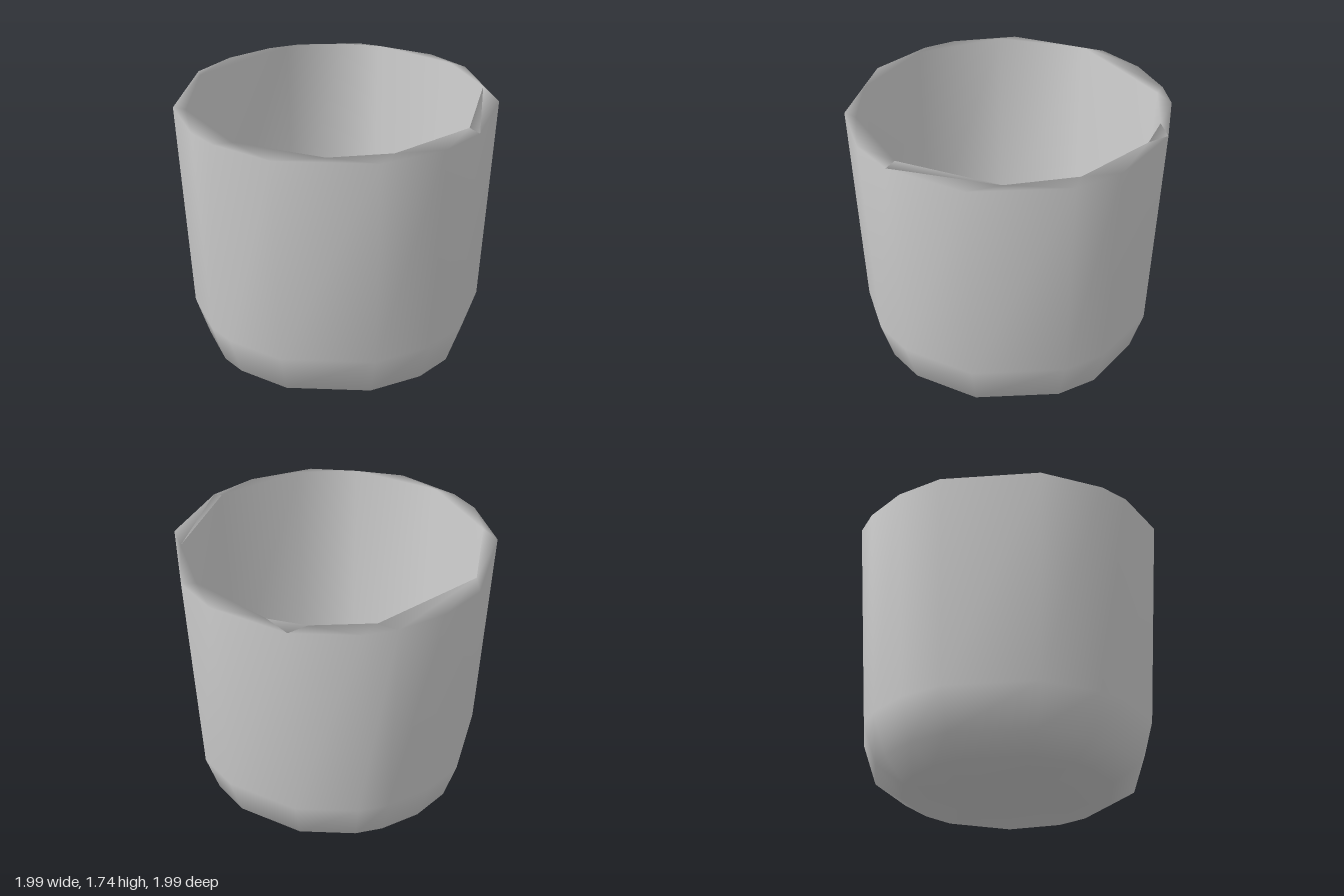
import * as THREE from 'three';

// Uneven corner angles (degrees, from +x towards +z) of the outer and inner walls
const OUTER = [12, 48, 78, 96, 120, 156, 180, 192, 216, 252, 270, 288, 300, 324, 354];
const INNER = [8, 36, 78, 114, 138, 174, 210, 246, 294, 318, 333];

// Skin a list of rings { a: angles, r: radius, y: height }, joining rings with differing corners
function skinRings(rings) {
  const positions = [], index = [];
  const starts = rings.map(({ a, r, y }) => {
    const start = positions.length / 3;
    for (const deg of a) {
      const t = THREE.MathUtils.degToRad(deg);
      positions.push(r * Math.cos(t), y, r * Math.sin(t));
    }
    return start;
  });
  for (let k = 0; k + 1 < rings.length; k++) {
    const A = rings[k].a, B = rings[k + 1].a;
    const angle = (list, n) => list[n % list.length] + (n >= list.length ? 360 : 0);
    const va = (n) => starts[k] + (n % A.length);
    const vb = (n) => starts[k + 1] + (n % B.length);
    let i = 0, j = 0;
    while (i < A.length || j < B.length) {
      const stepA = j >= B.length || (i < A.length && angle(A, i + 1) <= angle(B, j + 1));
      if (stepA) {
        if (rings[k].r > 0) index.push(va(i), vb(j), va(i + 1));
        i++;
      } else {
        if (rings[k + 1].r > 0) index.push(va(i), vb(j), vb(j + 1));
        j++;
      }
    }
  }
  const geometry = new THREE.BufferGeometry();
  geometry.setAttribute('position', new THREE.Float32BufferAttribute(positions, 3));
  geometry.setIndex(index);
  geometry.computeVertexNormals();
  return geometry;
}

export function createModel() {
  const group = new THREE.Group();
  group.name = 'cup';
  const clay = new THREE.MeshStandardMaterial({ color: 0xcccccc });
  clay.name = 'light grey';

  // One continuous smooth shell: underside, outer wall, rim, inner wall, floor
  const shell = new THREE.Mesh(skinRings([
    { a: OUTER, r: 0, y: 0 },
    { a: OUTER, r: 0.66, y: 0 },
    { a: OUTER, r: 0.84, y: 0.11 },
    { a: OUTER, r: 0.925, y: 0.37 },
    { a: OUTER, r: 1, y: 1.72 },
    { a: INNER, r: 0.93, y: 1.74 },
    { a: INNER, r: 0.86, y: 0.4 },
    { a: INNER, r: 0.78, y: 0.17 },
    { a: INNER, r: 0.6, y: 0.07 },
    { a: INNER, r: 0, y: 0.07 },
  ]), clay);
  shell.name = 'cupShell';
  group.add(shell);
  return group;
}
